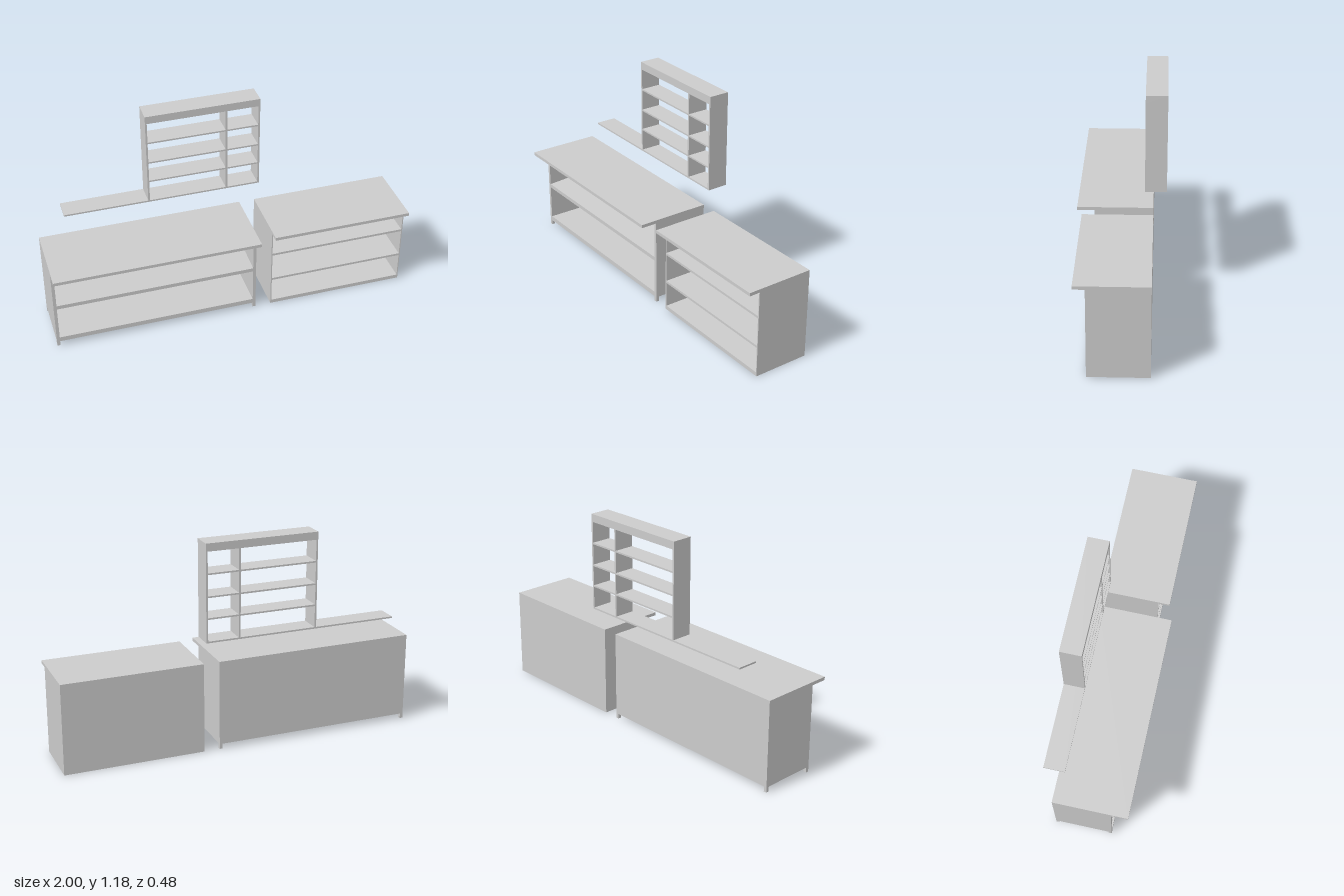
import * as THREE from 'three';

const material = new THREE.MeshStandardMaterial({ color: 0xcccccc });

// Box given by its min and max on each axis
function board(parent, name, [x0, x1], [y0, y1], [z0, z1]) {
  const mesh = new THREE.Mesh(new THREE.BoxGeometry(x1 - x0, y1 - y0, z1 - z0), material);
  mesh.position.set((x0 + x1) / 2, (y0 + y1) / 2, (z0 + z1) / 2);
  mesh.name = name;
  parent.add(mesh);
  return mesh;
}

function group(parent, name) {
  const g = new THREE.Group();
  g.name = name;
  parent.add(g);
  return g;
}

const BACK = -0.17, FRONT = 0.148, HEIGHT = 0.506, UNDER_TOP = 0.488;

// Wide counter on short feet, with an overhanging top and a slightly tilted shelf
function wideCounter(parent) {
  const g = group(parent, 'wideCounter');
  const x0 = -1, x1 = 0.132, t = 0.017, y0 = 0.028;
  const inside = [x0 + t, x1 - t];
  board(g, 'counterTop', [x0, x1], [UNDER_TOP, HEIGHT], [BACK, 0.24]);
  board(g, 'bottomBoard', inside, [y0, 0.055], [BACK, FRONT]);
  board(g, 'backPanel', inside, [0.055, UNDER_TOP], [BACK, BACK + 0.01]);
  for (const x of [x0, x1 - t]) {
    board(g, 'sidePanel', [x, x + t], [y0, UNDER_TOP], [BACK, FRONT]);
    for (const z of [BACK, FRONT - t]) board(g, 'foot', [x, x + t], [0, y0], [z, z + t]);
  }
  // Shelf: shear so the back edge sits higher than the front
  const shelf = board(g, 'tiltedShelf', inside, [0.264, 0.286], [BACK + 0.01, FRONT]);
  const p = shelf.geometry.attributes.position;
  for (let i = 0; i < p.count; i++) p.setY(i, p.getY(i) - Math.sign(p.getZ(i)) * 0.011);
  shelf.geometry.computeVertexNormals();
}

// Narrow counter standing on the floor, with two shelves
function narrowCounter(parent) {
  const g = group(parent, 'narrowCounter');
  const x0 = 0.22, x1 = 1, t = 0.006;
  const inside = [x0 + t, x1 - t];
  board(g, 'counterTop', [x0, x1], [UNDER_TOP, HEIGHT], [BACK, 0.21]);
  board(g, 'bottomBoard', inside, [0, 0.022], [BACK, FRONT]);
  board(g, 'backPanel', inside, [0.022, UNDER_TOP], [BACK, BACK + 0.01]);
  for (const x of [x0, x1 - t]) board(g, 'sidePanel', [x, x + t], [0, UNDER_TOP], [BACK, FRONT]);
  for (const y of [0.166, 0.338]) board(g, 'shelf', inside, [y, y + 0.013], [BACK + 0.01, FRONT]);
}

// Open-backed hanging shelf unit whose base runs on as a long ledge
function hangingShelves(parent) {
  const g = group(parent, 'hangingShelves');
  const x0 = -0.398, x1 = 0.232, t = 0.01, z = [-0.24, -0.125];
  board(g, 'header', [x0, x1], [1.14, 1.183], z);
  board(g, 'baseLedge', [-0.86, x1], [0.647, 0.656], z);
  for (const x of [x0, x1 - t]) board(g, 'sidePanel', [x, x + t], [0.656, 1.14], z);
  const divider = 0.04;
  board(g, 'divider', [divider, divider + t], [0.656, 1.14], z);
  for (const y of [0.775, 0.893, 1.016]) {
    board(g, 'longShelf', [x0 + t, divider], [y, y + 0.009], z);
    board(g, 'shortShelf', [divider + t, x1 - t], [y, y + 0.009], z);
  }
}

export function createModel() {
  const model = new THREE.Group();
  model.name = 'counterSet';
  wideCounter(model);
  narrowCounter(model);
  hangingShelves(model);
  return model;
}
